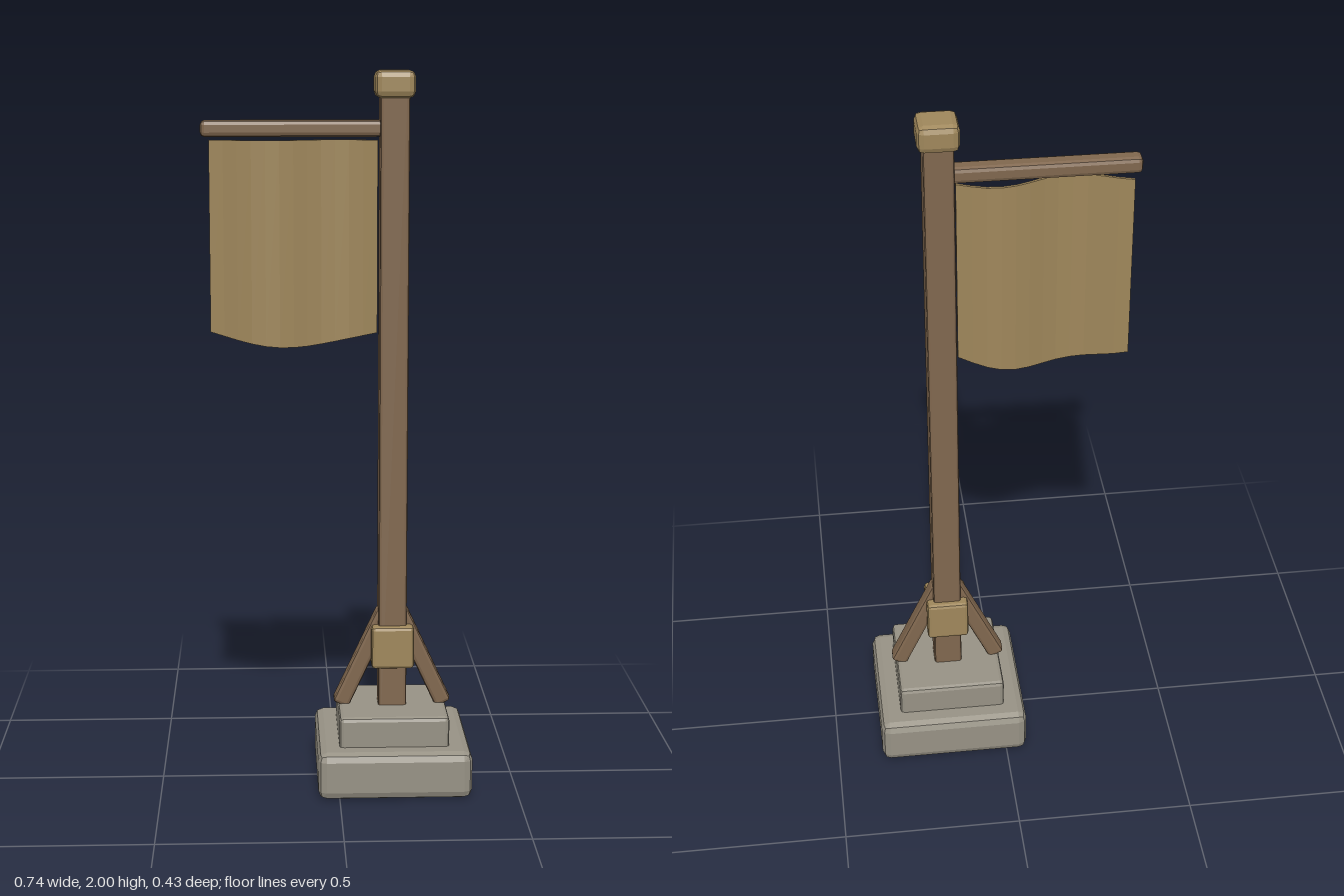
import * as THREE from 'three';
import { RoundedBoxGeometry } from 'three/addons/geometries/RoundedBoxGeometry.js';

const POST_X = 0.155;

export function createModel() {
  const root = new THREE.Group();
  root.name = 'bannerPost';

  const material = (name, hex) => {
    const m = new THREE.MeshStandardMaterial({ color: hex });
    m.name = name;
    return m;
  };
  const stone = material('stone', 0x979285);
  const wood = material('wood', 0x80674e);
  const tan = material('tan', 0x9f875b);

  const add = (name, geometry, mat, x, y, z = 0) => {
    const mesh = new THREE.Mesh(geometry, mat);
    mesh.name = name;
    mesh.position.set(x, y, z);
    root.add(mesh);
    return mesh;
  };

  // Box with faceted, bevelled edges
  const bevelBox = (w, h, d, bevel) => {
    const g = new RoundedBoxGeometry(w, h, d, 1, bevel);
    g.computeVertexNormals();
    return g;
  };

  // Stepped stone base
  add('baseSlab', bevelBox(0.43, 0.135, 0.43, 0.024), stone, POST_X, 0.0725 - 0.005);
  add('baseStep', bevelBox(0.308, 0.13, 0.308, 0.012), stone, POST_X, 0.155);

  // Post with cap and collar
  add('post', bevelBox(0.08, 1.76, 0.08, 0.008), wood, POST_X, 1.07);
  add('cap', bevelBox(0.11, 0.075, 0.11, 0.018), tan, POST_X, 1.9625);
  add('collar', bevelBox(0.12, 0.122, 0.12, 0.01), tan, POST_X, 0.393);

  // Slanted braces, mirrored on both sides of the post
  for (const side of [-1, 1]) {
    const brace = add(side < 0 ? 'rightBrace' : 'leftBrace',
      bevelBox(0.048, 0.305, 0.05, 0.01), wood, POST_X + side * 0.083, 0.355);
    brace.rotation.z = side * 0.434;
  }

  // Horizontal arm
  add('arm', bevelBox(0.51, 0.045, 0.05, 0.012), wood, -0.117, 1.844);

  // Hanging cloth: a thin slab with vertical folds and a sagging hem
  const cloth = new THREE.BoxGeometry(0.46, 1, 0.008, 12, 1, 1);
  const p = cloth.attributes.position;
  for (let i = 0; i < p.count; i++) {
    const x = p.getX(i) - 0.12;
    const u = (x + 0.35) / 0.46;
    const fold = -0.007 - 0.026 * Math.cos((2 * Math.PI * x) / 0.38);
    const y = p.getY(i) > 0 ? 1.812 : 1.285 - 0.04 * Math.sin(Math.PI * u);
    p.setXYZ(i, x, y, p.getZ(i) + fold);
  }
  const flatCloth = cloth.toNonIndexed();
  flatCloth.computeVertexNormals();
  add('cloth', flatCloth, tan, 0, 0);

  return root;
}
